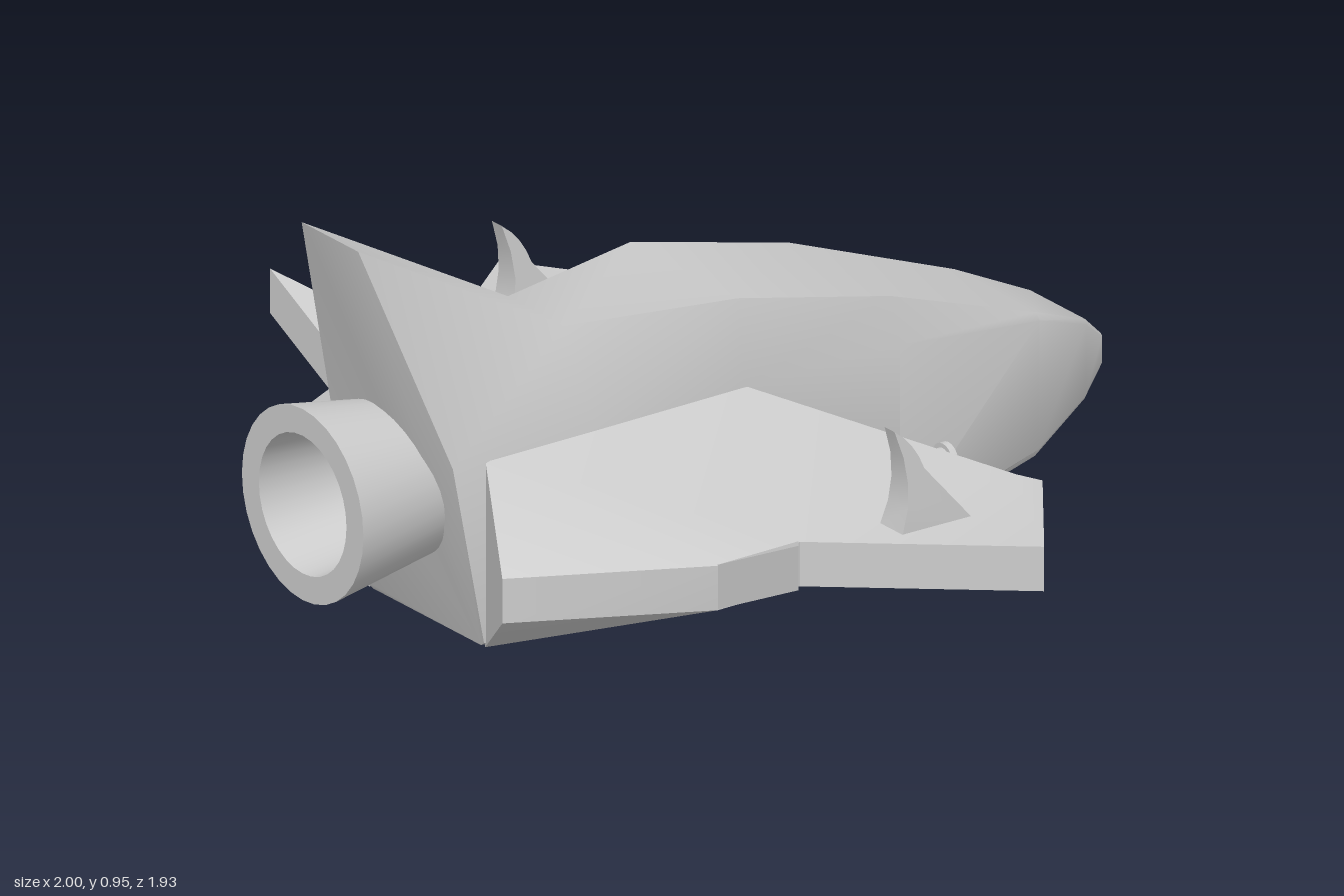
import * as THREE from 'three';
import { toCreasedNormals } from 'three/addons/utils/BufferGeometryUtils.js';

const material = new THREE.MeshStandardMaterial({ color: 0xcccccc });

function makeMesh(name, geometry, crease = 0.6) {
  const mesh = new THREE.Mesh(toCreasedNormals(geometry, crease), material);
  mesh.name = name;
  return mesh;
}

function fromTriangles(points, index) {
  const g = new THREE.BufferGeometry();
  g.setAttribute('position', new THREE.Float32BufferAttribute(points.flat(), 3));
  g.setIndex(index);
  return g;
}

// Hull lofted through mirrored rings; each ring lists [x, y, half width] from keel to roof
function hullGeometry() {
  const ring = (x, ...rows) => rows.map(([y, w]) => [x, y, w]);
  const stations = [
    [[-0.68, 0.035, 0.19], [-0.69, 0.05, 0.215], [-0.77, 0.46, 0.215], [-0.93, 0.95, 0.1]],
    ring(-0.4, [0.005, 0.19], [0.03, 0.215], [0.46, 0.215], [0.655, 0.1]),
    ring(-0.02, [0, 0.19], [0.03, 0.215], [0.465, 0.213], [0.655, 0.19]),
    ring(0.38, [0.01, 0.19], [0.035, 0.213], [0.46, 0.213], [0.56, 0.18]),
    ring(0.78, [0.09, 0.14], [0.11, 0.155], [0.4, 0.157], [0.415, 0.145]),
    ring(0.94, [0.165, 0.095], [0.175, 0.1], [0.335, 0.102], [0.345, 0.097]),
    ring(1, [0.22, 0.07], [0.225, 0.075], [0.285, 0.075], [0.29, 0.07]),
  ];
  const points = [], index = [], n = 8;
  for (const s of stations) {
    points.push(...s, ...[...s].reverse().map(([x, y, z]) => [x, y, -z]));
  }
  for (let i = 0; i < stations.length - 1; i++) {
    for (let j = 0; j < n; j++) {
      const a = i * n + j, b = i * n + (j + 1) % n, c = b + n, d = a + n;
      index.push(a, d, c, a, c, b);
    }
  }
  // Tail and nose caps
  const last = (stations.length - 1) * n;
  for (let k = 1; k < n - 1; k++) {
    index.push(0, k, k + 1, last, last + k + 1, last + k);
  }
  return fromTriangles(points, index);
}

// Slab with a plan outline of [x, z, lower y, upper y]; side -1 mirrors it
function slabGeometry(outline, triangles, side) {
  const n = outline.length, index = [];
  const points = [
    ...outline.map(([x, z, , hi]) => [x, hi, z * side]),
    ...outline.map(([x, z, lo]) => [x, lo, z * side]),
  ];
  for (const [a, b, c] of triangles) index.push(c, b, a, a + n, b + n, c + n);
  for (let p = 0; p < n; p++) {
    const q = (p + 1) % n;
    index.push(p, q, q + n, p, q + n, p + n);
  }
  if (side < 0) index.reverse();
  return fromTriangles(points, index);
}

// Lathe laid along x; direction 1 points forward, -1 points back
function turned(profile, segments, direction) {
  const g = new THREE.LatheGeometry(profile.map(p => new THREE.Vector2(...p)), segments);
  return g.rotateZ(-direction * Math.PI / 2);
}

// Curved blade that narrows toward its tip
function bladeGeometry() {
  const s = new THREE.Shape();
  s.moveTo(0, -0.02);
  s.lineTo(0.18, -0.02);
  s.lineTo(0.18, 0);
  s.lineTo(0.07, 0.13);
  s.quadraticCurveTo(0.05, 0.19, 0, 0.225);
  s.quadraticCurveTo(0.05, 0.1, 0.005, 0);
  const g = new THREE.ExtrudeGeometry(s, { depth: 2, bevelEnabled: false, curveSegments: 4 });
  g.translate(0, 0, -1);
  const p = g.attributes.position;
  for (let i = 0; i < p.count; i++) {
    p.setZ(i, p.getZ(i) * (0.04 - 0.1 * Math.max(0, p.getY(i))));
  }
  return g;
}

export function createModel() {
  const group = new THREE.Group();
  group.add(makeMesh('hull', hullGeometry(), 0.7));

  // Rear engine nozzle
  const engine = makeMesh('engineNozzle', turned(
    [[0.155, 0.65], [0.215, 1], [0.155, 1], [0.135, 0.78], [0, 0.78]], 32, -1));
  engine.position.y = 0.365;
  group.add(engine);

  const wing = [
    [-0.68, 0.205, 0.035, 0.46], [-0.02, 0.205, 0.03, 0.465],
    [0.39, 0.61, 0.2, 0.3], [0.415, 0.67, 0.2, 0.3], [0.205, 0.965, 0.2, 0.3],
    [-0.19, 0.645, 0.2, 0.3], [-0.405, 0.65, 0.2, 0.3], [-0.81, 0.445, 0.2, 0.3],
  ];
  const wingFaces = [[0, 1, 5], [1, 2, 5], [2, 3, 4], [2, 4, 5], [0, 5, 6], [0, 6, 7]];
  const fin = [[-0.405, 0.645, 0.2, 0.3], [-0.19, 0.64, 0.2, 0.3], [-0.405, 0.935, 0.34, 0.44]];

  for (const side of [1, -1]) {
    const prefix = side > 0 ? 'left' : 'right';
    group.add(makeMesh(prefix + 'Wing', slabGeometry(wing, wingFaces, side), 0.5));
    group.add(makeMesh(prefix + 'WingFin', slabGeometry(fin, [[0, 1, 2]], side), 0.3));

    const blade = makeMesh(prefix + 'Blade', bladeGeometry(), 0.5);
    blade.position.set(0, 0.3, side > 0 ? 0.7 : -0.69);
    group.add(blade);

    // Hollow gun barrel with a muzzle ring
    const gun = makeMesh(prefix + 'Gun', turned(
      [[0.027, 0.08], [0.027, 0.405], [0.037, 0.405], [0.037, 0.42],
        [0.02, 0.42], [0.02, 0.36], [0, 0.36]], 20, 1));
    gun.position.set(0, 0.235, side > 0 ? 0.33 : -0.375);
    group.add(gun);
  }
  return group;
}
